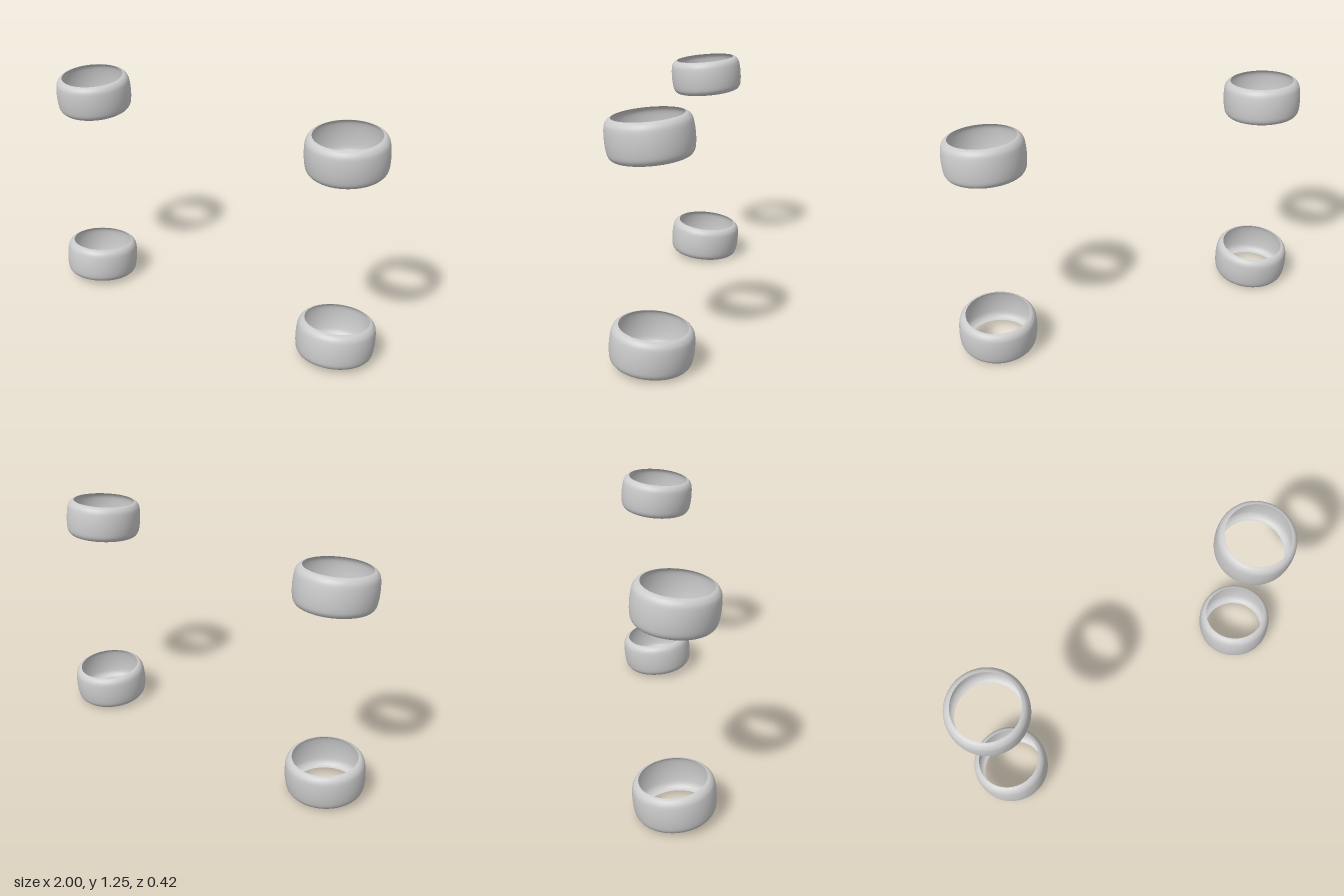
import * as THREE from 'three';

const TILT = THREE.MathUtils.degToRad(5);

// Thin open band: barrel wall with rounded shoulders curling in to a round opening
function bandGeometry() {
  const half = [[0.207, 0], [0.206, 0.03], [0.2025, 0.06], [0.197, 0.077], [0.187, 0.09], [0.178, 0.0955], [0.169, 0.0985]];
  const lower = half.slice(1).reverse().map(([r, y]) => new THREE.Vector2(r, -y));
  const upper = half.map(([r, y]) => new THREE.Vector2(r, y));
  const profile = new THREE.SplineCurve([...lower, ...upper]).getPoints(36);
  return new THREE.LatheGeometry(profile, 72);
}

export function createModel() {
  const model = new THREE.Group();
  model.name = 'bands';
  const material = new THREE.MeshStandardMaterial({ color: 0xcccccc, side: THREE.DoubleSide });
  const geometry = bandGeometry();

  // Upper pair leans forward, lower pair leans back
  const rows = [
    { name: 'upper', y: 1.139, tilt: TILT },
    { name: 'lower', y: 0.113, tilt: -TILT },
  ];
  for (const row of rows) {
    for (const side of [1, -1]) {
      const band = new THREE.Mesh(geometry, material);
      band.name = row.name + (side > 0 ? 'LeftBand' : 'RightBand');
      band.position.set(side * 0.793, row.y, 0);
      band.rotation.x = row.tilt;
      model.add(band);
    }
  }
  return model;
}
